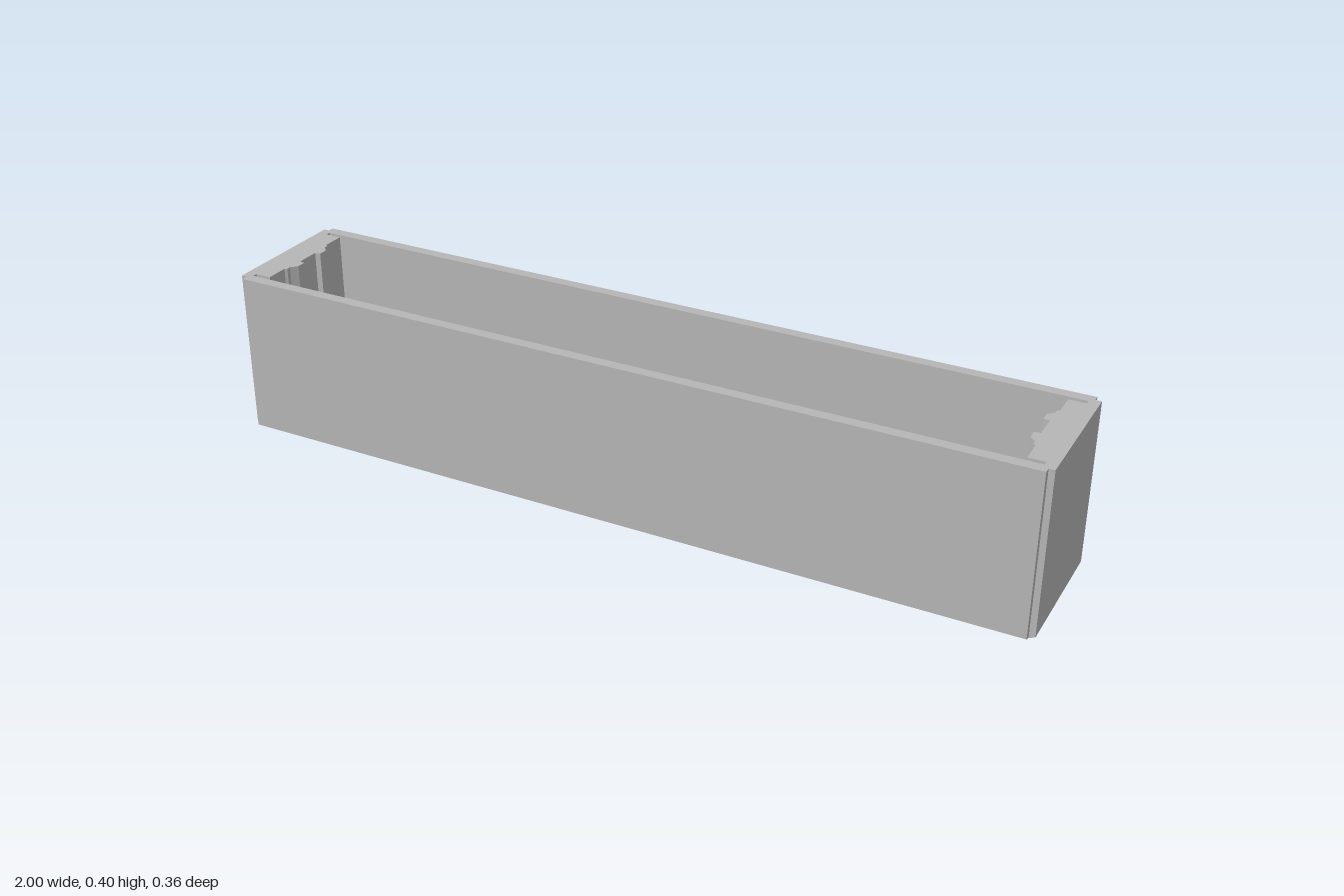
import * as THREE from 'three';

const HEIGHT = 0.4, CHAMFER = 0.005, FLOOR = 0.02;

// Outer plan: end faces and long faces meet in a small stepped corner
const OUTER = [
  [1, -0.164], [1, 0.164], [0.986, 0.164], [0.986, 0.179],
  [-0.986, 0.179], [-0.986, 0.164], [-1, 0.164], [-1, -0.164],
  [-0.986, -0.164], [-0.986, -0.179], [0.986, -0.179], [0.986, -0.164],
];

// Half of one end's inner plan, from the corner slot to the middle
const INNER = [
  [0.975, 0.152], [0.975, 0.14], [0.935, 0.14], [0.935, 0.084], [0.929, 0.08],
  [0.929, 0.07], [0.915, 0.055], [0.915, 0.032], [0.929, 0.03], [0.929, 0.02],
];

const toPoints = list => list.map(([x, y]) => new THREE.Vector2(x, y));

// Extrude a plan upwards from y0 to y1
function upright(shape, y0, y1) {
  const g = new THREE.ExtrudeGeometry(shape, { depth: y1 - y0, bevelEnabled: false });
  return g.rotateX(-Math.PI / 2).translate(0, y0, 0);
}

// Shallow tapered foot, narrower at the bottom
function foot(topHalf, bottomHalf, length) {
  const shape = new THREE.Shape(toPoints([
    [-bottomHalf, 0], [bottomHalf, 0], [topHalf, CHAMFER], [-topHalf, CHAMFER],
  ]));
  return new THREE.ExtrudeGeometry(shape, { depth: length, bevelEnabled: false })
    .translate(0, 0, -length / 2);
}

export function createModel() {
  const group = new THREE.Group();
  group.name = 'planterBox';
  const grey = new THREE.MeshStandardMaterial({ color: 0xb6b6b6 });
  grey.name = 'grey';

  const add = (name, geometry) => {
    const mesh = new THREE.Mesh(geometry, grey);
    mesh.name = name;
    group.add(mesh);
  };

  // Hollow walls with ribbed ends
  const end = [...INNER, ...INNER.map(([x, z]) => [x, -z]).reverse()];
  const hole = [...end, ...end.map(([x, z]) => [-x, z]).reverse()];
  const walls = new THREE.Shape(toPoints(OUTER));
  walls.holes.push(new THREE.Path(toPoints(hole)));
  add('walls', upright(walls, CHAMFER, HEIGHT));

  // Floor
  add('floor', upright(new THREE.Shape(toPoints(OUTER)), CHAMFER, FLOOR));

  // Chamfered underside along the ends and along the long sides
  add('endChamfers', foot(1, 0.986, 0.328));
  add('sideChamfers', foot(0.179, 0.164, 1.972).rotateY(Math.PI / 2));

  return group;
}
